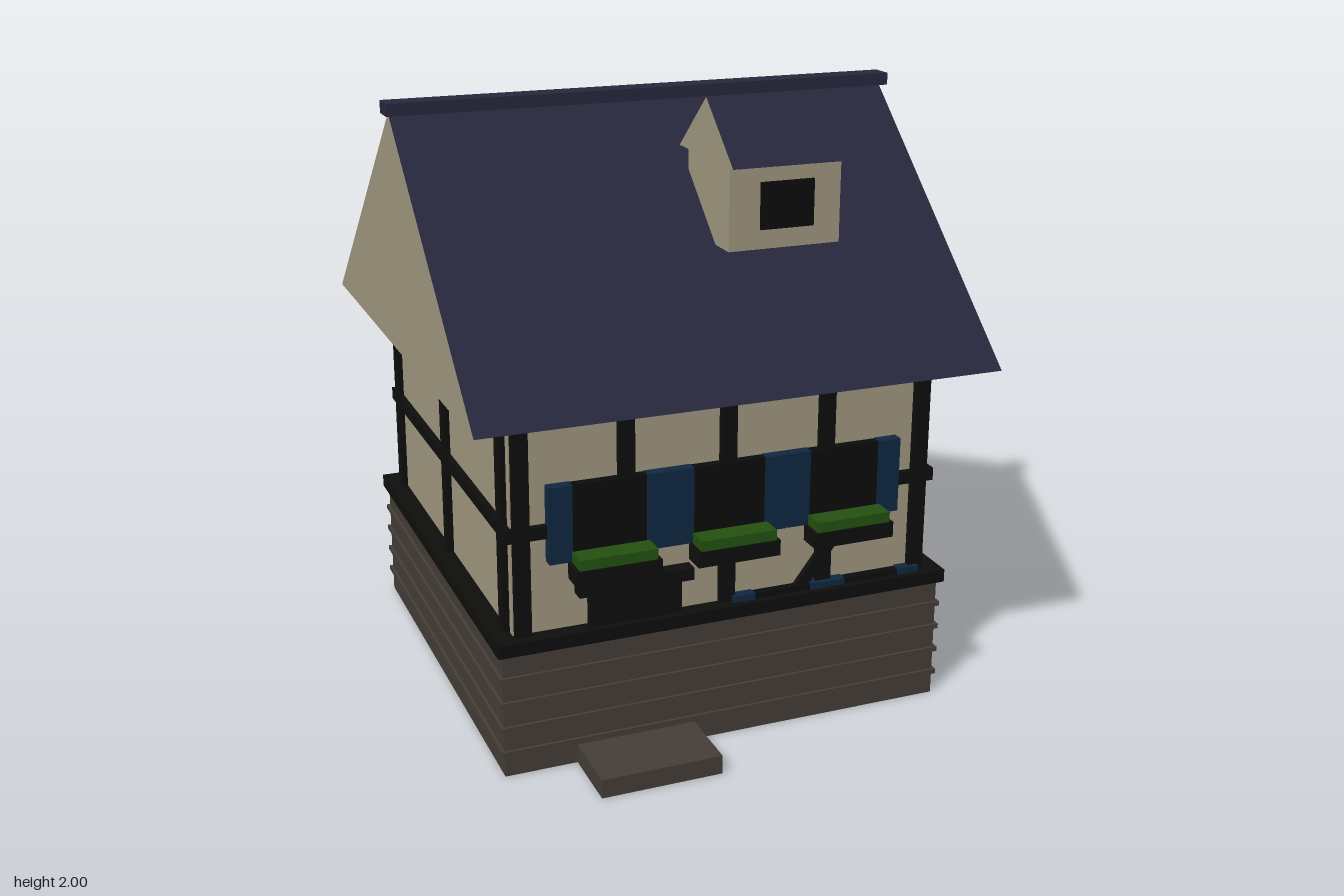
import * as THREE from 'three';

const mat = (name, color) => Object.assign(new THREE.MeshStandardMaterial({ color }), { name });

export function createModel() {
  const house = new THREE.Group();
  house.name = 'house';
  const plaster = mat('plaster', 0x9f9780);
  const slate = mat('roofSlate', 0x27273c);
  const stone = mat('stone', 0x443d37);
  const timber = mat('timber', 0x0e0e0d);
  const glass = mat('darkGlass', 0x0b0c0d);
  const blue = mat('shutterBlue', 0x0f2740);
  const green = mat('plantGreen', 0x235010);

  // Box given by its lower and upper bounds
  function box(name, material, [x0, x1], [y0, y1], [z0, z1], parent = house) {
    const mesh = new THREE.Mesh(new THREE.BoxGeometry(x1 - x0, y1 - y0, z1 - z0), material);
    mesh.position.set((x0 + x1) / 2, (y0 + y1) / 2, (z0 + z1) / 2);
    mesh.name = name;
    parent.add(mesh);
    return mesh;
  }

  // Gabled prism with its ridge along x: slate slopes, plaster gables and underside
  function gableRoof(name, [x0, x1], [y0, y1], [z0, z1]) {
    const zm = (z0 + z1) / 2;
    const [a, b, c] = [[x0, y0, z1], [x0, y0, z0], [x0, y1, zm]];
    const [d, e, f] = [a, b, c].map(([, y, z]) => [x1, y, z]);
    const slopes = [a, d, f, a, f, c, e, b, c, e, c, f];
    const others = [a, c, b, d, e, f, a, b, e, a, e, d];
    const geo = new THREE.BufferGeometry();
    geo.setAttribute('position', new THREE.Float32BufferAttribute([...slopes, ...others].flat(), 3));
    geo.addGroup(0, 12, 0);
    geo.addGroup(12, 12, 1);
    geo.computeVertexNormals();
    const mesh = new THREE.Mesh(geo, [slate, plaster]);
    mesh.name = name;
    house.add(mesh);
  }

  const cz = -0.04; // centre line of the house in z
  const block = (name, m, hx, hz, y) => box(name, m, [-hx, hx], y, [cz - hz, cz + hz]);

  // Stone base with thin courses, sill and plastered walls
  block('stoneBase', stone, 0.745, 0.73, [0, 0.415]);
  for (const y of [0.08, 0.163, 0.247, 0.33]) block('stoneCourse', stone, 0.755, 0.74, [y - 0.008, y + 0.008]);
  block('sillBeam', timber, 0.762, 0.75, [0.412, 0.455]);
  block('walls', plaster, 0.7, 0.695, [0.45, 1.145]);

  // Timber framing on the front and back
  for (const side of [1, -1]) {
    const frame = new THREE.Group();
    frame.name = side > 0 ? 'frontFraming' : 'backFraming';
    frame.position.z = cz + side * 0.703;
    house.add(frame);
    const depth = [-0.012, 0.012];
    for (let i = -2; i <= 2; i++) {
      const x = i * 0.335;
      box('post', timber, [x - 0.026, x + 0.026], [0.45, 1.14], depth, frame);
    }
    box('topBeam', timber, [-0.702, 0.702], [1.125, 1.167], depth, frame);
    box('middleRail', timber, [-0.702, 0.702], [0.765, 0.807], depth, frame);
    for (const s of [1, -1]) {
      const brace = box('brace', timber, [-0.02, 0.02], [-0.2, 0.2], [-0.01, 0.01], frame);
      brace.position.set(s * 0.37, 0.615, 0);
      brace.rotation.z = -s * Math.atan2(0.25, 0.33);
    }
  }

  // Timber framing on the gable walls
  for (const side of [1, -1]) {
    const xs = side > 0 ? [0.698, 0.72] : [-0.72, -0.698];
    for (const z of [0.602, -0.037, -0.678]) box('sidePost', timber, xs, [0.45, 1.145], [z - 0.025, z + 0.025]);
    box('sideRail', timber, xs, [0.765, 0.807], [cz - 0.712, cz + 0.715]);
  }

  // Main roof and ridge cap
  gableRoof('mainRoof', [-0.85, 0.85], [1.17, 1.94], [-0.915, 0.835]);
  box('ridgeCap', slate, [-0.865, 0.865], [1.935, 1.975], [-0.08, 0]);

  // Dormer
  box('dormerBody', plaster, [0.06, 0.435], [1.545, 1.82], [0.185, 0.51]);
  box('dormerWindow', glass, [0.163, 0.342], [1.607, 1.755], [0.51, 0.519]);
  gableRoof('dormerRoof', [0.04, 0.46], [1.815, 2], [0.16, 0.58]);

  // Chimney
  box('chimney', stone, [-0.525, -0.32], [1.6, 1.9], [-0.287, -0.085]);
  box('chimneyCap', timber, [-0.557, -0.29], [1.892, 1.925], [-0.315, -0.055]);

  // Shuttered windows with planters
  for (const x of [-0.395, -0.003, 0.39]) {
    box('window', glass, [x - 0.12, x + 0.12], [0.68, 0.93], [0.655, 0.685]);
    for (const s of [1, -1]) {
      const m = x + s * 0.1575;
      box('shutter', blue, [m - 0.0375, m + 0.0375], [0.685, 0.932], [0.655, 0.692]);
    }
    box('planter', timber, [x - 0.137, x + 0.137], [0.635, 0.686], [0.692, 0.772]);
    box('plants', green, [x - 0.125, x + 0.125], [0.686, 0.72], [0.695, 0.768]);
  }

  // Tops of the low windows behind the sill
  for (const x of [0.21, 0.48]) {
    box('lowWindow', glass, [x - 0.12, x + 0.12], [0.44, 0.472], [0.655, 0.684]);
    for (const s of [1, -1]) {
      const m = x + s * 0.1575;
      box('lowShutter', blue, [m - 0.0375, m + 0.0375], [0.44, 0.476], [0.655, 0.69]);
    }
  }

  // Door, its lintel and the step
  box('door', timber, [-0.46, -0.16], [0.42, 0.57], [0.655, 0.686]);
  box('doorLintel', timber, [-0.5, -0.125], [0.565, 0.605], [0.655, 0.702]);
  box('step', stone, [-0.51, -0.115], [0, 0.062], [0.68, 0.915]);

  return house;
}
